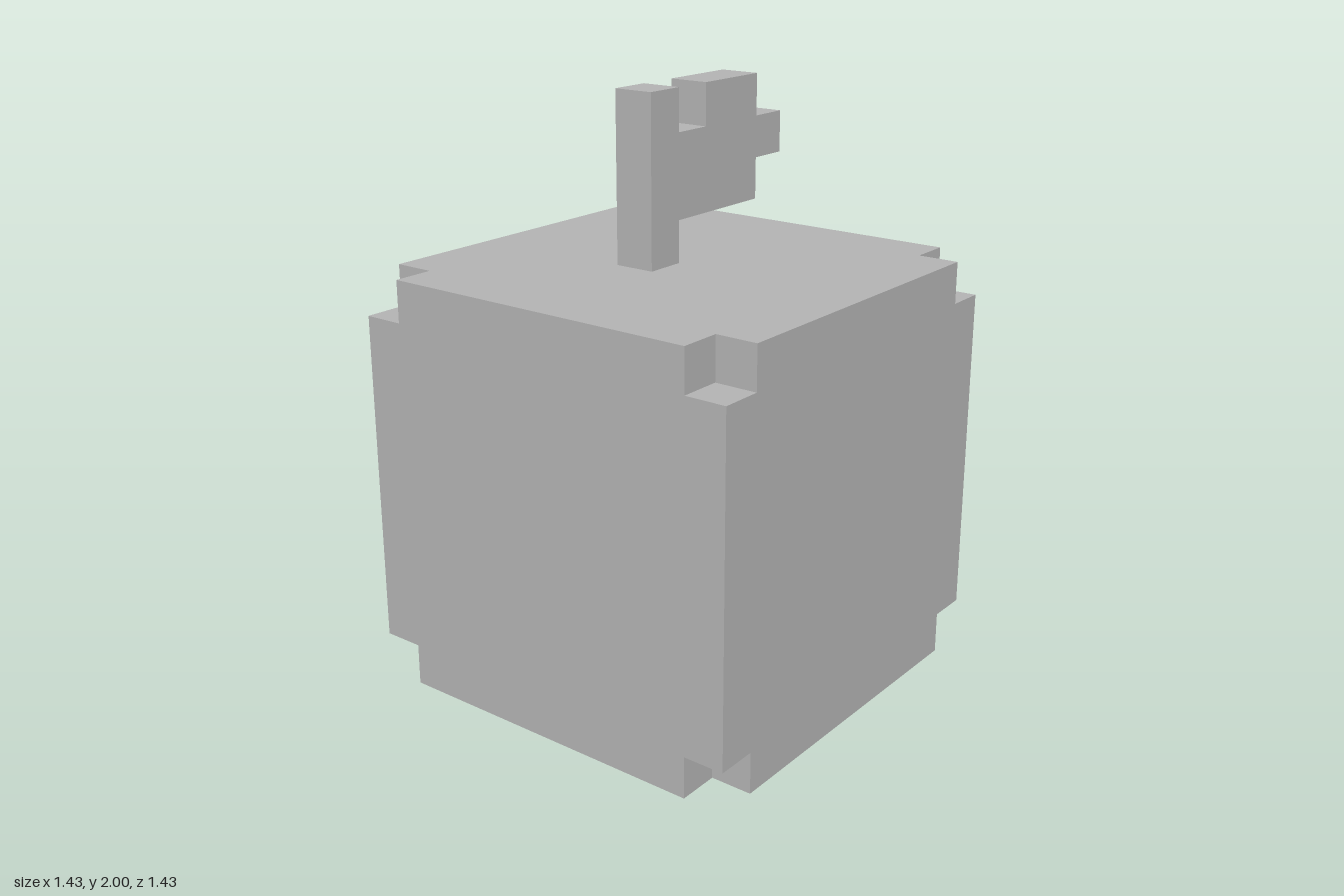
import * as THREE from 'three';
import { mergeGeometries } from 'three/addons/utils/BufferGeometryUtils.js';

const U = 2 / 14; // one block unit

function shapeFrom(points) {
  return new THREE.Shape(points.map(([x, y]) => new THREE.Vector2(x * U, y * U)));
}

// One side of the cube: a plus-shaped panel with four recessed corner squares
function cubeSide() {
  const panel = new THREE.ShapeGeometry(shapeFrom([
    [-4, -5], [4, -5], [4, -4], [5, -4], [5, 4], [4, 4],
    [4, 5], [-4, 5], [-4, 4], [-5, 4], [-5, -4], [-4, -4],
  ])).translate(0, 0, 5 * U);
  const parts = [panel];
  for (const sx of [-1, 1]) {
    for (const sy of [-1, 1]) {
      parts.push(new THREE.PlaneGeometry(U, U).translate(sx * 4.5 * U, sy * 4.5 * U, 4 * U));
    }
  }
  return mergeGeometries(parts.map((g) => g.toNonIndexed()));
}

export function createModel() {
  const model = new THREE.Group();
  model.name = 'blockFruit';
  const grey = new THREE.MeshStandardMaterial({ color: 0xb2b2b2 });
  grey.name = 'grey';

  // Body: four upright sides, then top and bottom
  const sides = [0, 1, 2, 3].map((i) => cubeSide().rotateY(i * Math.PI / 2));
  sides.push(cubeSide().rotateX(-Math.PI / 2), cubeSide().rotateX(Math.PI / 2));
  const body = new THREE.Mesh(mergeGeometries(sides).translate(0, 5 * U, 0), grey);
  body.name = 'body';
  model.add(body);

  // Stem and leaf: one stepped outline, one unit thick, leaf pointing back
  const outline = shapeFrom([
    [-1, 10], [0, 10], [0, 11], [3, 11], [3, 12], [4, 12], [4, 13],
    [3, 13], [3, 14], [1, 14], [1, 13], [0, 13], [0, 14], [-1, 14],
  ]);
  const sprig = new THREE.ExtrudeGeometry(outline, { depth: U, bevelEnabled: false });
  sprig.rotateY(Math.PI / 2).translate(-U, 0, 0);
  const stem = new THREE.Mesh(sprig, grey);
  stem.name = 'stemAndLeaf';
  model.add(stem);

  return model;
}
